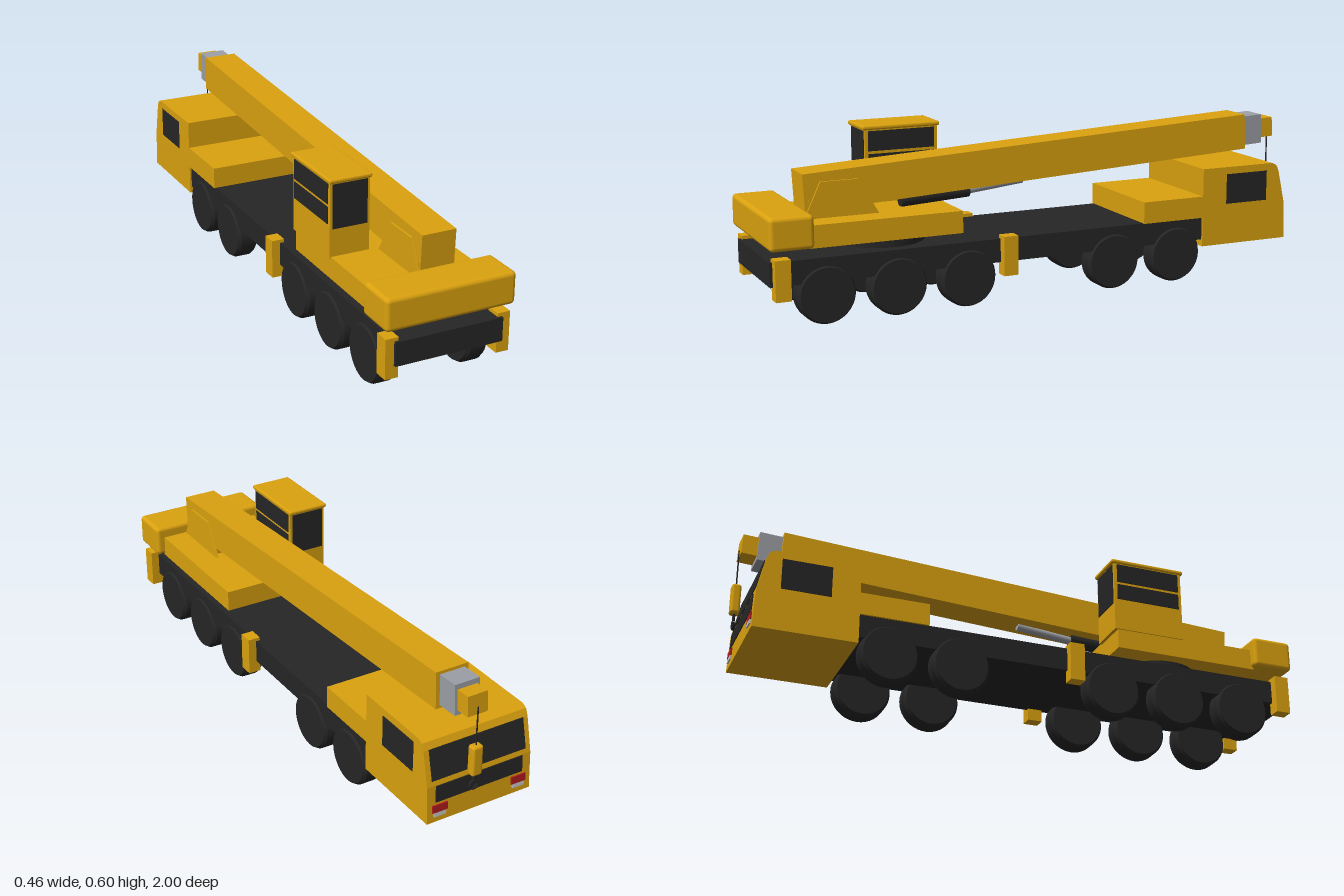
import * as THREE from 'three';
import { toCreasedNormals } from 'three/addons/utils/BufferGeometryUtils.js';
import { RoundedBoxGeometry } from 'three/addons/geometries/RoundedBoxGeometry.js';

const material = (name, color) => {
  const m = new THREE.MeshStandardMaterial({ color });
  m.name = name;
  return m;
};

export function createModel() {
  const yellow = material('crane yellow', 0xdba20f);
  const black = material('black', 0x262626);
  const steel = material('steel grey', 0x9c9fa5);
  const red = material('lamp red', 0xb01c1c);
  const white = material('lamp white', 0xc9c9c9);

  const model = new THREE.Group();
  model.name = 'mobileCrane';

  const add = (name, geometry, mat, parent = model) => {
    const mesh = new THREE.Mesh(geometry, mat);
    mesh.name = name;
    parent.add(mesh);
    return mesh;
  };

  // Box given by its limits on each axis; a radius rounds its edges
  const box = (name, mat, [x0, x1], [y0, y1], [z0, z1], radius = 0) => {
    const size = [x1 - x0, y1 - y0, z1 - z0];
    const geometry = radius
      ? new RoundedBoxGeometry(...size, 3, radius)
      : new THREE.BoxGeometry(...size);
    const mesh = add(name, geometry, mat);
    mesh.position.set((x0 + x1) / 2, (y0 + y1) / 2, (z0 + z1) / 2);
    return mesh;
  };

  // Side profile of [z, y] points, extruded between x0 and x1
  const profile = (name, mat, points, x0, x1) => {
    const shape = new THREE.Shape(points.map(([z, y]) => new THREE.Vector2(z, y)));
    const geometry = new THREE.ExtrudeGeometry(shape, { depth: x1 - x0, bevelEnabled: false });
    geometry.rotateY(-Math.PI / 2).translate(x1, 0, 0);
    return add(name, geometry, mat);
  };

  // Round rod between two points
  const rod = (name, mat, from, to, radius) => {
    const a = new THREE.Vector3(...from), b = new THREE.Vector3(...to);
    const mesh = add(name, new THREE.CylinderGeometry(radius, radius, a.distanceTo(b), 20), mat);
    mesh.position.copy(a).add(b).multiplyScalar(0.5);
    mesh.quaternion.setFromUnitVectors(new THREE.Vector3(0, 1, 0), b.sub(a).normalize());
    return mesh;
  };

  // Carrier frame and engine deck
  box('chassis', black, [-0.19, 0.19], [0.143, 0.225], [-0.62, 0.993]);
  box('engineDeck', yellow, [-0.197, 0.197], [0.224, 0.302], [-0.62, -0.37]);

  // Wheels with chamfered shoulders
  const tyreProfile = [[0, -0.0375], [0.092, -0.0375], [0.1, -0.024], [0.1, 0.024], [0.092, 0.0375], [0, 0.0375]];
  const tyre = toCreasedNormals(
    new THREE.LatheGeometry(tyreProfile.map(([r, y]) => new THREE.Vector2(r, y)), 40).rotateZ(Math.PI / 2), 0.5);
  for (const z of [0.803, 0.553, 0.302, -0.253, -0.503]) {
    for (const side of [-1, 1]) {
      add('wheel', tyre, black).position.set(side * 0.1595, 0.1, z);
    }
  }

  // Outrigger legs
  for (const z of [0.957, 0.158]) {
    for (const side of [-1, 1]) {
      add('outrigger', new THREE.BoxGeometry(0.045, 0.137, 0.053), yellow).position.set(side * 0.1975, 0.1685, z);
    }
  }

  // Driving cab with a raked windscreen
  const rake = [[-0.933, 0.37], [-0.96, 0.25], [-0.966, 0.118]];
  profile('drivingCab', yellow, [
    [-0.612, 0.118], [-0.612, 0.402], [-0.905, 0.402], [-0.923, 0.393], ...rake,
  ], -0.197, 0.197);
  for (const side of [-1, 1]) {
    const x = [side * 0.194, side * 0.199].sort((a, b) => a - b);
    box('drivingCabSideWindow', black, x, [0.267, 0.376], [-0.88, -0.71]);
  }

  // Thin plate that follows the slope of the cab's nose
  const noseZ = (y) => {
    const [a, b] = y >= 0.25 ? [rake[0], rake[1]] : [rake[1], rake[2]];
    return a[0] + (b[0] - a[0]) * (a[1] - y) / (a[1] - b[1]);
  };
  const nosePlate = (name, mat, x0, x1, y0, y1, out = 0.003) => profile(name, mat, [
    [noseZ(y0) + 0.003, y0], [noseZ(y1) + 0.003, y1], [noseZ(y1) - out, y1], [noseZ(y0) - out, y0],
  ], x0, x1);
  nosePlate('windscreen', black, -0.178, 0.178, 0.268, 0.37);
  nosePlate('grille', black, -0.165, 0.165, 0.19, 0.248);
  for (const side of [-1, 1]) {
    const x = side * 0.15;
    nosePlate('redLamp', red, x - 0.028, x + 0.028, 0.154, 0.18, 0.005);
    nosePlate('whiteLamp', white, x - 0.022, x + 0.022, 0.139, 0.154, 0.005);
  }

  // Turntable, rotating deck and counterweight
  add('turntable', new THREE.CylinderGeometry(0.153, 0.153, 0.04, 40), black).position.set(0, 0.243, 0.552);
  box('rotatingDeck', yellow, [-0.197, 0.197], [0.26, 0.336], [0.325, 0.86]);
  box('counterweight', yellow, [-0.228, 0.228], [0.265, 0.377], [0.85, 1.0], 0.015);

  // Boom foot: tapered cheek plates either side of the boom
  for (const x of [-0.03, 0.097]) {
    profile('boomCheek', yellow, [[0.585, 0.33], [0.85, 0.33], [0.79, 0.457], [0.66, 0.457]], x, x + 0.008);
  }
  box('boomFoot', yellow, [-0.024, 0.099], [0.33, 0.4], [0.62, 0.83]);

  // Operator cab with windows
  box('operatorCab', yellow, [-0.201, -0.059], [0.33, 0.59], [0.313, 0.577]);
  box('operatorCabRoof', yellow, [-0.207, -0.054], [0.588, 0.603], [0.304, 0.586], 0.006);
  box('operatorFrontWindow', black, [-0.192, -0.068], [0.432, 0.584], [0.574, 0.58]);
  box('operatorRearWindow', black, [-0.192, -0.068], [0.432, 0.584], [0.31, 0.316]);
  for (const x of [-0.201, -0.059]) {
    for (const y of [[0.447, 0.505], [0.515, 0.584]]) {
      box('operatorSideWindow', black, [x - 0.003, x + 0.003], y, [0.325, 0.565]);
    }
  }

  // Telescopic boom, built along its own axis and then raised
  const boom = new THREE.Group();
  boom.name = 'boom';
  boom.position.set(0.0375, 0.421, 0.845);
  boom.rotation.x = Math.atan(0.0515);
  model.add(boom);
  for (const [name, mat, width, height, start, end] of [
    ['boomMainSection', yellow, 0.121, 0.128, 0, 1.694],
    ['boomInnerSection', steel, 0.092, 0.107, 1.69, 1.774],
    ['boomHead', yellow, 0.074, 0.071, 1.77, 1.828],
  ]) {
    add(name, new THREE.BoxGeometry(width, height, end - start), mat, boom)
      .position.z = -(start + end) / 2;
  }

  // Lifting ram below the boom
  rod('ramBarrel', black, [0.0375, 0.358, 0.49], [0.0375, 0.372, 0.24], 0.024);
  rod('ramRod', steel, [0.0375, 0.37, 0.26], [0.0375, 0.393, 0.035], 0.014);

  // Hoist rope, hook block and hook
  rod('hoistRope', black, [0.0375, 0.36, -0.983], [0.0375, 0.505, -0.983], 0.0025);
  box('hookBlock', yellow, [0.0175, 0.0575], [0.262, 0.37], [-0.999, -0.967], 0.009);
  rod('hookShank', black, [0.0375, 0.238, -0.983], [0.0375, 0.268, -0.983], 0.005);
  const hook = add('hook', new THREE.TorusGeometry(0.015, 0.005, 8, 20, Math.PI * 1.5), black);
  hook.position.set(0.0375, 0.224, -0.983);
  hook.rotation.z = -Math.PI;

  return model;
}
